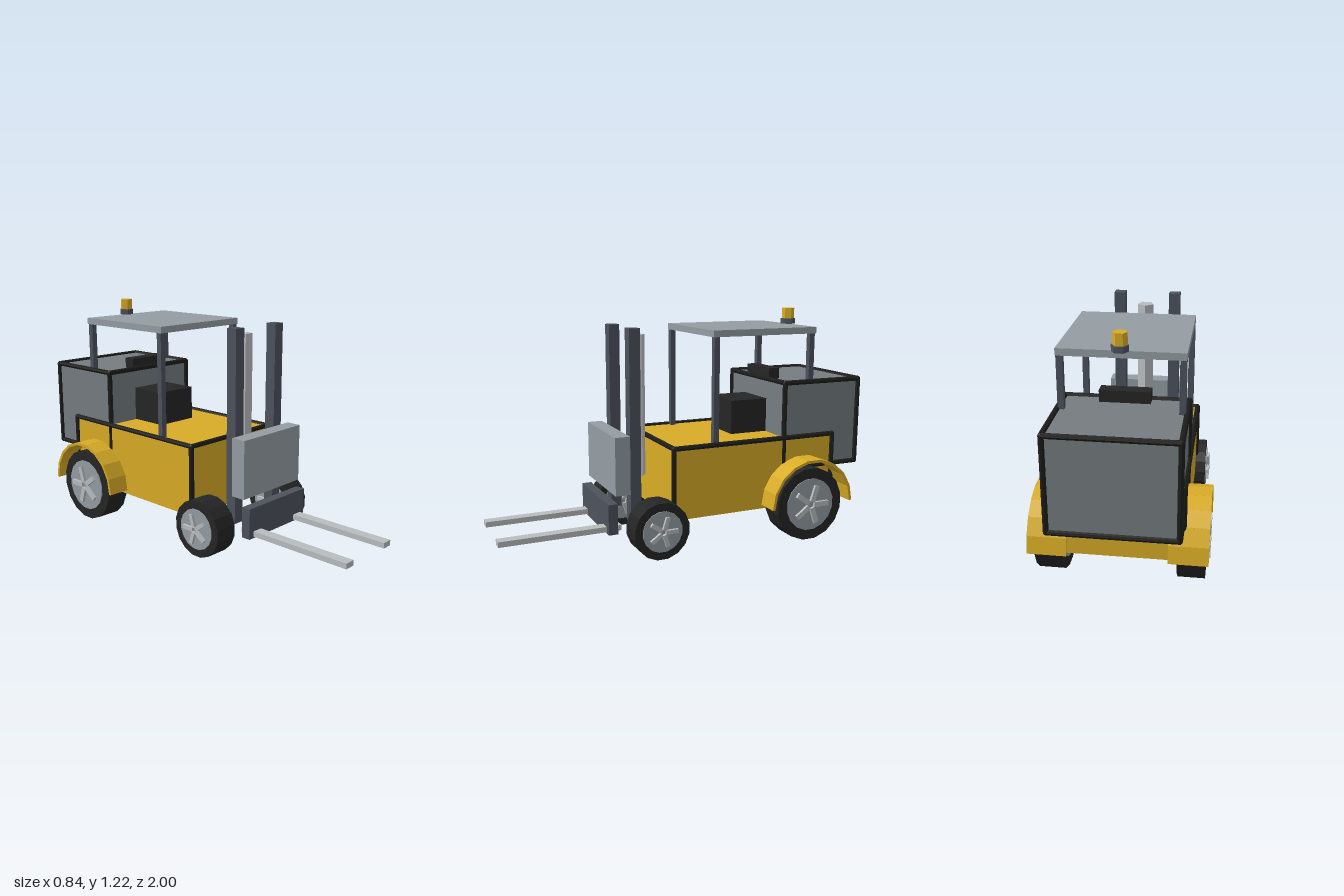
import * as THREE from 'three';

const mat = (name, color) => {
  const m = new THREE.MeshStandardMaterial({ color, flatShading: true });
  m.name = name;
  return m;
};

export function createModel() {
  const yellow = mat('yellow paint', 0xd8ac26);
  const grey = mat('counterweight grey', 0x757c80);
  const lightGrey = mat('panel grey', 0x949da3);
  const darkSteel = mat('dark steel', 0x4d525c);
  const steel = mat('bright steel', 0xb9bdbf);
  const black = mat('black trim', 0x1c1c1b);
  const rubber = mat('rubber and seat', 0x252525);

  const model = new THREE.Group();
  model.name = 'forklift';

  const add = (name, geometry, material, parent = model) => {
    const mesh = new THREE.Mesh(geometry, material);
    mesh.name = name;
    parent.add(mesh);
    return mesh;
  };

  // Box given by its lower and upper limits on each axis
  const box = (name, material, [x0, x1], [y0, y1], [z0, z1], parent) => {
    const mesh = add(name, new THREE.BoxGeometry(x1 - x0, y1 - y0, z1 - z0), material, parent);
    mesh.position.set((x0 + x1) / 2, (y0 + y1) / 2, (z0 + z1) / 2);
    return mesh;
  };

  // Mirrored pair of boxes
  const pair = (name, material, [x0, x1], y, z) => {
    box(name + 'Left', material, [x0, x1], y, z);
    box(name + 'Right', material, [-x1, -x0], y, z);
  };

  // Rounded trim bar between two points, with ball joints at the ends
  const R = 0.0135;
  const bar = (parent, a, b) => {
    const from = new THREE.Vector3(...a), to = new THREE.Vector3(...b);
    const dir = to.clone().sub(from);
    const rod = add('trimBar', new THREE.CylinderGeometry(R, R, dir.length(), 8), black, parent);
    rod.position.copy(from).addScaledVector(dir, 0.5);
    rod.quaternion.setFromUnitVectors(new THREE.Vector3(0, 1, 0), dir.normalize());
  };
  const trim = (name, x, [y0, y1], [z0, z1], withBottom) => {
    const group = new THREE.Group();
    group.name = name;
    model.add(group);
    for (const y of withBottom ? [y0, y1] : [y1]) {
      for (const s of [-1, 1]) {
        bar(group, [s * x, y, z0], [s * x, y, z1]);
        for (const z of [z0, z1]) {
          add('trimCorner', new THREE.SphereGeometry(R, 8, 6), black, group).position.set(s * x, y, z);
        }
      }
      for (const z of [z0, z1]) bar(group, [-x, y, z], [x, y, z]);
    }
    for (const s of [-1, 1]) {
      for (const z of [z0, z1]) bar(group, [s * x, y0, z], [s * x, y1, z]);
    }
  };

  // Chassis and counterweight
  box('chassis', yellow, [-0.3, 0.3], [0.178, 0.555], [-0.825, 0.125]);
  trim('chassisTrim', 0.3, [0.178, 0.555], [-0.825, 0.125], false);
  box('counterweight', grey, [-0.294, 0.294], [0.385, 0.85], [-0.987, -0.52]);
  trim('counterweightTrim', 0.294, [0.385, 0.85], [-0.987, -0.52], true);

  // Seat
  box('seatCushion', rubber, [-0.12, 0.12], [0.56, 0.743], [-0.51, -0.294]);
  box('seatBack', rubber, [-0.12, 0.12], [0.6, 0.908], [-0.588, -0.524]);

  // Overhead guard
  box('roof', lightGrey, [-0.29, 0.29], [1.106, 1.14], [-0.705, -0.097]);
  pair('frontPost', darkSteel, [0.259, 0.289], [0.55, 1.107], [-0.132, -0.102]);
  pair('rearPost', darkSteel, [0.259, 0.289], [0.84, 1.107], [-0.697, -0.667]);

  // Beacon
  const beacon = new THREE.Group();
  beacon.name = 'beacon';
  beacon.position.set(0, 1.14, -0.71);
  beacon.rotation.y = Math.PI / 6;
  model.add(beacon);
  add('beaconBase', new THREE.CylinderGeometry(0.04, 0.04, 0.03, 6), darkSteel, beacon).position.y = 0.015;
  add('beaconLamp', new THREE.CylinderGeometry(0.034, 0.034, 0.058, 6), yellow, beacon).position.y = 0.058;

  // Mast, lift cylinder, carriage and forks
  pair('mastRail', darkSteel, [0.12, 0.18], [0.155, 1.155], [0.257, 0.315]);
  const ram = add('liftCylinder', new THREE.CylinderGeometry(0.045, 0.045, 0.75, 5), steel);
  ram.position.set(0, 0.735, 0.207);
  ram.rotation.y = Math.PI;
  box('loadBackrest', lightGrey, [-0.22, 0.22], [0.32, 0.622], [0.33, 0.41]);
  box('carriage', darkSteel, [-0.22, 0.22], [0.12, 0.28], [0.4, 0.45]);
  pair('fork', steel, [0.132, 0.188], [0.128, 0.156], [0.37, 1]);

  // Wheels: tyre, rim disc and five spokes running through
  const wheel = (name, x, z, r, width) => {
    const group = new THREE.Group();
    group.name = name;
    group.position.set(x, r, z);
    model.add(group);
    const disc = (part, radius, w, material) => {
      const geometry = new THREE.CylinderGeometry(radius, radius, w, 16).rotateZ(Math.PI / 2);
      add(part, geometry.rotateX(Math.PI / 16), material, group);
    };
    disc('tyre', r, width, rubber);
    disc('rim', r * 0.72, width + 0.01, lightGrey);
    for (let i = 0; i < 5; i++) {
      const spoke = new THREE.BoxGeometry(width + 0.04, r * 0.14, r * 0.45);
      spoke.translate(0, 0, -r * 0.31).rotateX((i * Math.PI * 2) / 5);
      add('spoke', spoke, steel, group);
    }
  };

  // Fender: overlapping plates around the top half of a rear wheel
  const fender = (name, x) => {
    const group = new THREE.Group();
    group.name = name;
    group.position.set(x, 0.2, -0.638);
    model.add(group);
    for (let i = 0; i < 9; i++) {
      const plate = new THREE.BoxGeometry(0.185, 0.015, 0.088);
      plate.translate(0, 0.238, 0).rotateX(THREE.MathUtils.degToRad(-80 + i * 20));
      add('fenderPlate', plate, yellow, group);
    }
  };

  for (const [side, s] of [['Left', 1], ['Right', -1]]) {
    wheel('frontWheel' + side, s * 0.292, 0.212, 0.15, 0.125);
    wheel('rearWheel' + side, s * 0.335, -0.63, 0.2, 0.13);
    fender('fender' + side, s * 0.326);
  }

  return model;
}
